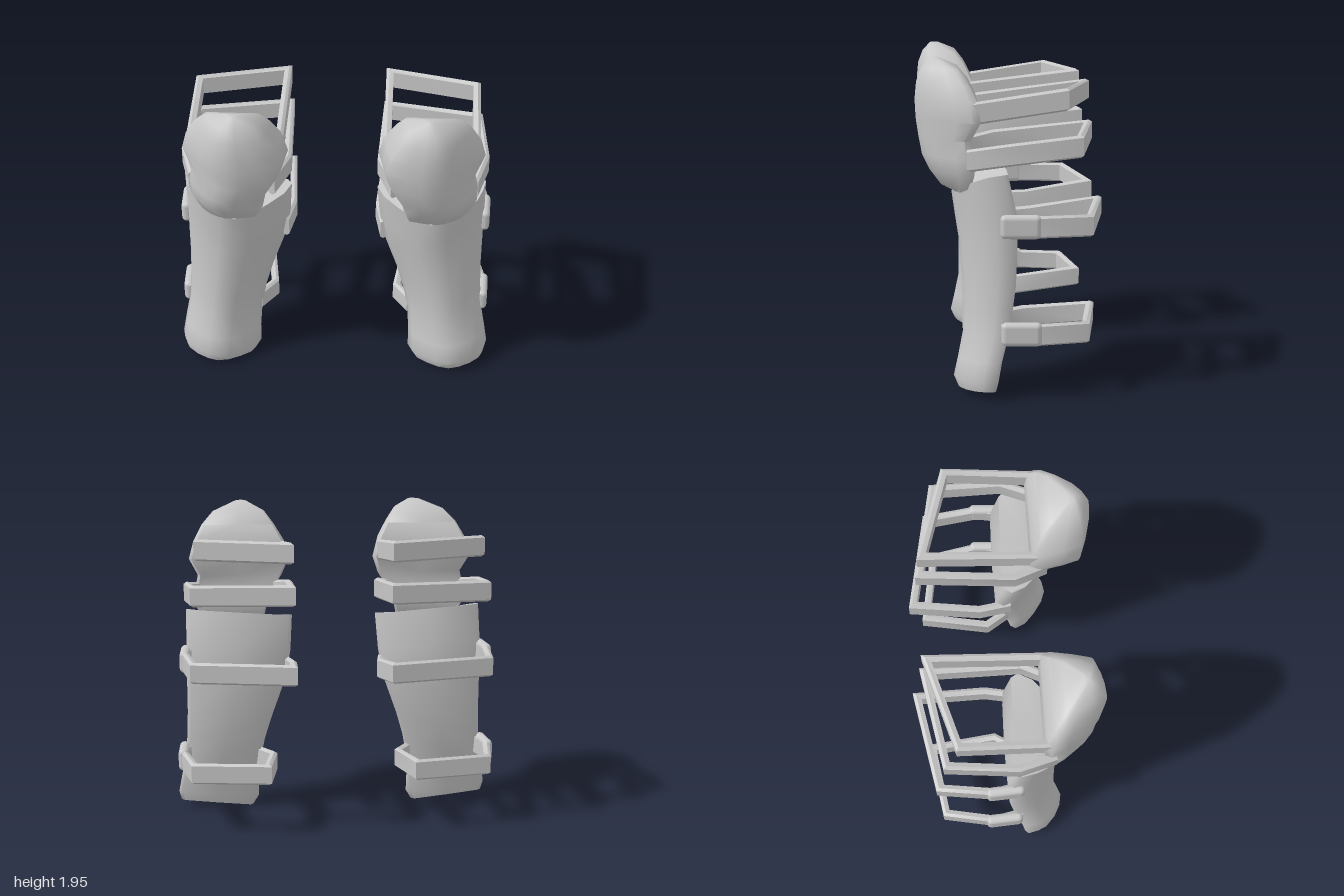
import * as THREE from 'three';
import { toCreasedNormals } from 'three/addons/utils/BufferGeometryUtils.js';
import { RoundedBoxGeometry } from 'three/addons/geometries/RoundedBoxGeometry.js';

// Skin a list of equal-length rings (arrays of [x, y, z]) and close both ends
function skin(rings, side, crease) {
  const n = rings[0].length, pos = [], idx = [];
  rings.forEach(r => r.forEach(p => pos.push(p[0] * side, p[1], p[2])));
  const tri = (a, b, c) => (side > 0 ? idx.push(a, b, c) : idx.push(a, c, b));
  for (let r = 0; r < rings.length - 1; r++) {
    for (let i = 0; i < n; i++) {
      const j = (i + 1) % n, a = r * n, b = a + n;
      tri(a + i, a + j, b + j);
      tri(a + i, b + j, b + i);
    }
  }
  [0, rings.length - 1].forEach((r, end) => {
    const c = pos.length / 3;
    const mid = [0, 1, 2].map(k => rings[r].reduce((s, p) => s + p[k], 0) / n);
    pos.push(mid[0] * side, mid[1], mid[2]);
    for (let i = 0; i < n; i++) {
      const j = (i + 1) % n;
      if (end) tri(c, r * n + i, r * n + j);
      else tri(c, r * n + j, r * n + i);
    }
  });
  const g = new THREE.BufferGeometry();
  g.setAttribute('position', new THREE.Float32BufferAttribute(pos, 3));
  g.setIndex(idx);
  return toCreasedNormals(g, crease);
}

// Level sections [y, xInner, xOuter, zBack, zFront, tilt] following one outline
const levels = (sections, outline, roll) =>
  sections.map(([y, xi, xo, zb, zf, tilt = 0]) => outline.map(([t, s]) => [
    xi + (xo - xi) * t,
    y + tilt * (0.5 - s * s) + roll * (t - 0.5),
    zb + (zf - zb) * s,
  ]));

// Upright band with mitred corners along a path of [x, y, z]
function band(path, height, thick) {
  const dir = (a, b) => new THREE.Vector2(b[0] - a[0], b[2] - a[2]).normalize();
  return path.map((p, i) => {
    const d0 = i ? dir(path[i - 1], p) : dir(p, path[1]);
    const d1 = i < path.length - 1 ? dir(p, path[i + 1]) : d0;
    const d = d0.clone().add(d1).normalize();
    const w = thick / 2 / Math.max(0.5, d.dot(d0));
    const nx = -d.y * w, nz = d.x * w;
    return [[-1, -0.4], [-1, 0.4], [-0.2, 0.5], [1, 0.4], [1, -0.4], [-0.2, -0.5]]
      .map(([k, h]) => [p[0] + nx * k, p[1] + h * height, p[2] + nz * k]);
  });
}

// Shin: flat back, sloped front, outer seam near the back
const shinOutline = [[0.04, 0.02], [0, 0.15], [0.06, 0.42], [0.2, 0.68], [0.36, 0.9], [0.5, 1],
  [0.64, 0.95], [0.79, 0.8], [0.92, 0.57], [0.97, 0.36], [1, 0.1], [0.96, 0.02], [0.5, 0]];
const shinSections = [
  [0.03, 0.52, 0.985, 0.11, 0.33],
  [0.09, 0.485, 1.0, 0.095, 0.355],
  [0.2, 0.485, 0.98, 0.075, 0.33],
  [0.35, 0.475, 0.95, 0.035, 0.3],
  [0.5, 0.445, 0.94, 0.01, 0.3],
  [0.65, 0.4, 0.935, -0.01, 0.3],
  [0.9, 0.31, 0.935, -0.02, 0.32],
  [1.05, 0.28, 0.935, -0.015, 0.34, 0.04],
  [1.235, 0.265, 0.93, 0.035, 0.36, 0.12],
];

// Knee pad: steep inner wall, rounded dome, sloping outer side
const kneeOutline = [[0.03, 0], [0, 0.13], [0.04, 0.5], [0.09, 0.82], [0.27, 0.93], [0.4, 0.98], [0.53, 1],
  [0.67, 0.88], [0.79, 0.7], [0.93, 0.36], [1, 0.12], [0.97, 0], [0.5, 0]];
const kneeSections = [
  [1.19, 0.45, 0.78, 0.29, 0.36],
  [1.22, 0.43, 0.82, 0.25, 0.42],
  [1.31, 0.41, 0.87, 0.23, 0.485],
  [1.4, 0.37, 0.87, 0.24, 0.53],
  [1.5, 0.31, 0.85, 0.25, 0.55],
  [1.61, 0.27, 0.905, 0.195, 0.565],
  [1.72, 0.3, 0.875, 0.21, 0.57],
  [1.82, 0.36, 0.82, 0.26, 0.56],
  [1.9, 0.42, 0.745, 0.32, 0.53],
  [1.955, 0.53, 0.6, 0.43, 0.48],
];

// Each strap runs from the inner side, round the back, to the outer side
const straps = {
  upperKneeStrap: [[0.32, 1.65, 0.25], [0.32, 1.735, -0.45], [0.86, 1.74, -0.29], [0.85, 1.66, 0.24]],
  lowerKneeStrap: [[0.37, 1.39, 0.3], [0.285, 1.425, 0.1], [0.31, 1.485, -0.475], [0.89, 1.475, -0.37],
    [0.92, 1.43, 0.05], [0.85, 1.39, 0.27]],
  upperShinStrap: [[0.31, 0.94, 0.08], [0.275, 0.95, -0.12], [0.305, 1.015, -0.54], [0.9, 1.02, -0.43],
    [0.945, 1.02, -0.1], [0.915, 1.02, 0.06]],
  lowerShinStrap: [[0.49, 0.35, 0.07], [0.4, 0.35, -0.07], [0.46, 0.39, -0.48], [0.905, 0.39, -0.41],
    [0.965, 0.39, -0.1], [0.93, 0.39, 0.08]],
};

export function createModel() {
  const model = new THREE.Group();
  model.name = 'legGuards';
  const grey = new THREE.MeshStandardMaterial({ color: 0xc8c8c8 });
  grey.name = 'light grey';

  for (const side of [1, -1]) {
    const guard = new THREE.Group();
    guard.name = side > 0 ? 'leftLegGuard' : 'rightLegGuard';
    const add = (name, geometry) => {
      const mesh = new THREE.Mesh(geometry, grey);
      mesh.name = name;
      guard.add(mesh);
      return mesh;
    };

    add('shinGuard', skin(levels(shinSections, shinOutline, 0.05), side, 1.2));
    add('kneePad', skin(levels(kneeSections, kneeOutline, 0), side, 1.0));

    for (const [name, path] of Object.entries(straps)) {
      add(name, skin(band(path, 0.13, 0.045), side, 0.8));
    }

    // Buckles on the outer side of the shin straps
    [['upperBuckle', 0.942, 1.022, -0.03], ['lowerBuckle', 0.962, 0.395, -0.035]].forEach(([name, x, y, z]) => {
      const buckle = add(name, new RoundedBoxGeometry(0.065, 0.14, 0.235, 2, 0.03));
      buckle.position.set(x * side, y, z);
      buckle.rotation.y = -0.06 * side;
    });

    model.add(guard);
  }
  return model;
}
